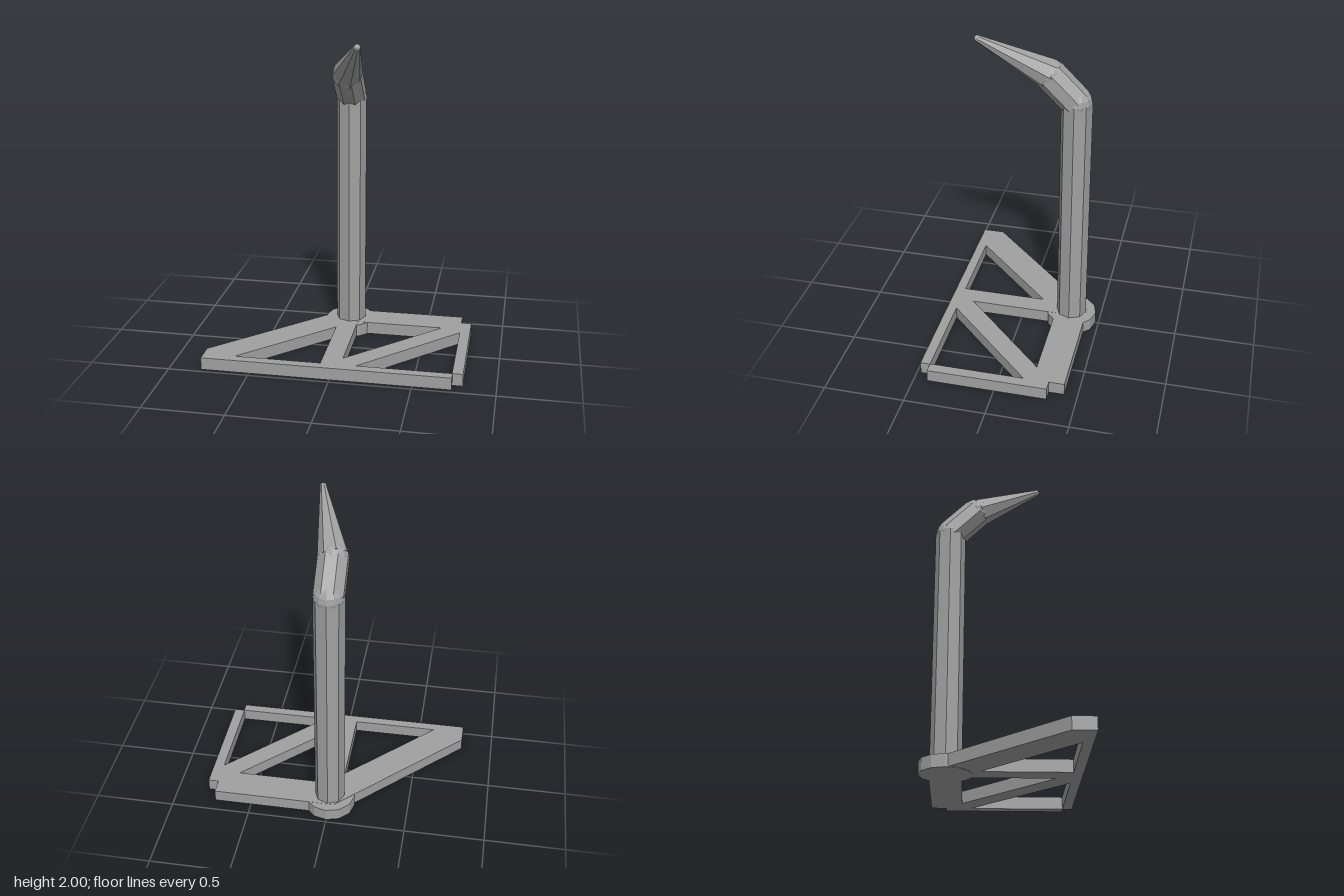
import * as THREE from 'three';

export function createModel() {
  const model = new THREE.Group();
  const grey = new THREE.MeshStandardMaterial({ color: 0xa0a0a0, flatShading: true });
  grey.name = 'plain grey';

  const add = (name, geometry) => {
    const mesh = new THREE.Mesh(geometry, grey);
    mesh.name = name;
    model.add(mesh);
    return mesh;
  };

  // Tapered eight-sided bar between two points, turned about its axis by roll
  const bar = (name, from, to, r0, r1, roll = 0) => {
    const axis = to.clone().sub(from);
    const geometry = new THREE.CylinderGeometry(r1, r0, axis.length(), 8);
    geometry.rotateY(roll);
    const mesh = add(name, geometry);
    mesh.position.copy(from).add(to).multiplyScalar(0.5);
    mesh.quaternion.setFromUnitVectors(new THREE.Vector3(0, 1, 0), axis.normalize());
  };

  const ball = (name, centre, radius) =>
    add(name, new THREE.SphereGeometry(radius, 12, 8)).position.copy(centre);

  // Base plate: plan drawn as (x, z), with three openings between the struts
  const points = (list) => list.map(([x, z]) => new THREE.Vector2(x, z));
  const plan = new THREE.Shape(points([
    [-0.8, 0.475], [-0.8, 0.34], [-0.04, -0.42], [0.735, -0.42], [0.735, -0.325],
    [0.8, -0.325], [0.8, 0.415], [0.737, 0.415], [0.737, 0.475],
  ]));
  const openings = [
    [[-0.6, 0.415], [-0.065, 0.415], [-0.065, -0.12]],
    [[0.06, 0.325], [0.615, -0.225], [0.06, -0.225]],
    [[0.155, 0.415], [0.734, 0.414], [0.735, -0.17]],
  ];
  plan.holes = openings.map((corners) => new THREE.Path(points(corners)));
  const plate = new THREE.ExtrudeGeometry(plan, { depth: 0.078, bevelEnabled: false });
  plate.rotateX(Math.PI / 2);
  add('basePlate', plate).position.y = 0.08;

  // Round foot under the post
  add('postFoot', new THREE.CylinderGeometry(0.16, 0.16, 0.079, 12)).position.set(0, 0.0395, -0.32);

  // Post, sloping neck and pointed tip, with rounded joints
  const foot = new THREE.Vector3(0, 0.04, -0.32);
  const elbow = new THREE.Vector3(0, 1.58, -0.32);
  const bend = new THREE.Vector3(0, 1.745, -0.155);
  const tip = new THREE.Vector3(0.125, 1.98, 0.24);
  const roll = Math.PI / 8;
  bar('post', foot, elbow, 0.095, 0.095);
  bar('neck', elbow, bend, 0.095, 0.095, roll);
  bar('point', bend, tip, 0.095, 0.02, roll);
  ball('elbowJoint', elbow, 0.094);
  ball('bendJoint', bend, 0.092);
  ball('tipEnd', tip, 0.02);

  return model;
}
